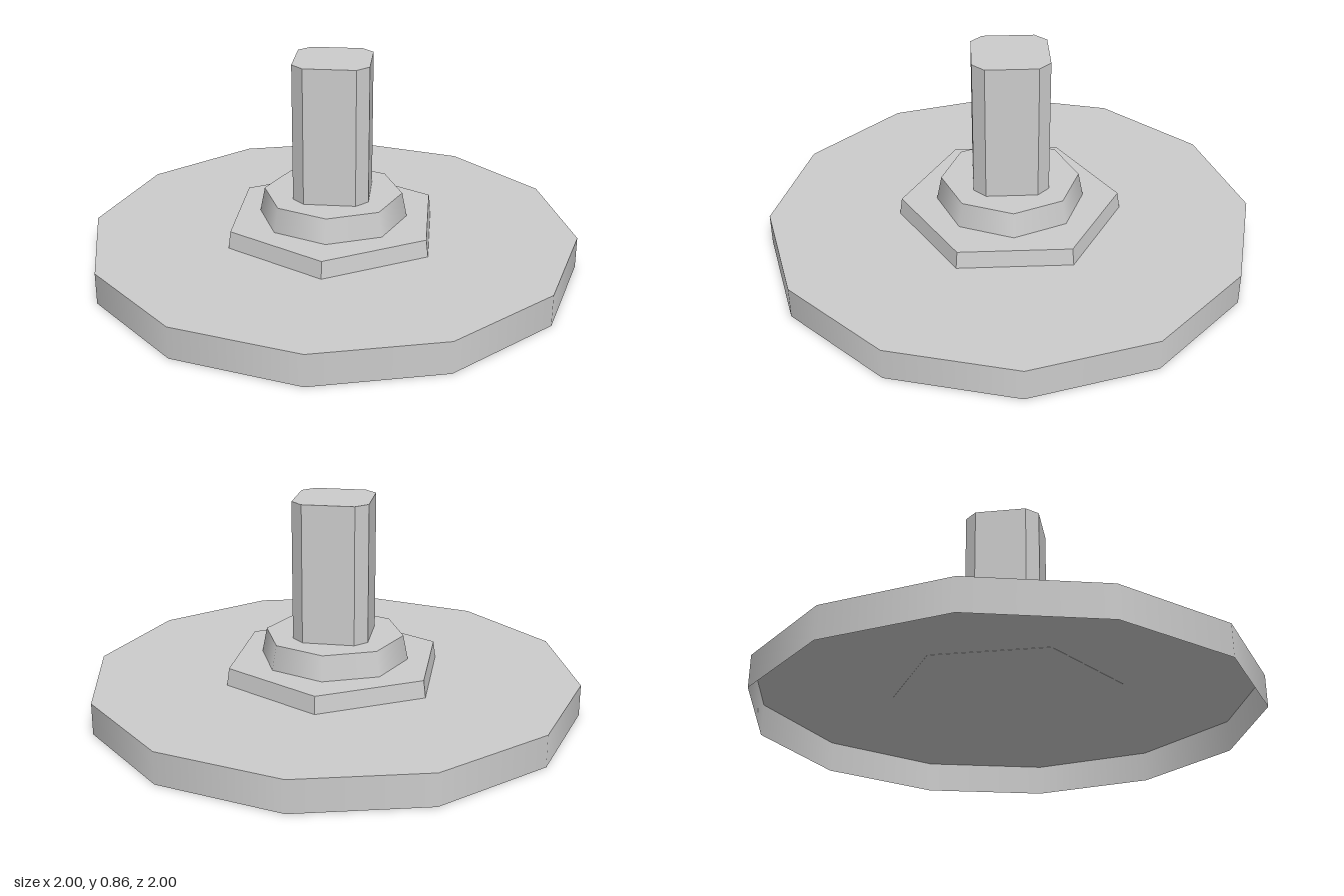
import * as THREE from 'three';

export function createModel() {
  const model = new THREE.Group();
  const grey = new THREE.MeshStandardMaterial({ color: 0xcccccc, side: THREE.DoubleSide });
  grey.name = 'grey';

  const add = (name, geometry) => {
    const mesh = new THREE.Mesh(geometry, grey);
    mesh.name = name;
    model.add(mesh);
  };

  // Upright prism from y0 to y1, with or without end caps
  const prism = (sides, rBottom, rTop, y0, y1, open = false) =>
    new THREE.CylinderGeometry(rTop, rBottom, y1 - y0, sides, 1, open)
      .translate(0, (y0 + y1) / 2, 0);

  // Heights of the steps
  const baseTop = 0.128, plinthTop = 0.198, collarTop = 0.298, postTop = 0.861;

  // Broad twelve-sided base: a smooth rim and a top plate, hollow underneath
  add('baseRim', prism(12, 1, 1, 0, baseTop, true));
  add('baseTop', new THREE.CircleGeometry(1, 12).rotateX(-Math.PI / 2).translate(0, baseTop, 0));

  // Faceted hexagonal plinth resting on the top plate
  const plinth = prism(6, 0.459, 0.449, baseTop - 0.001, plinthTop).toNonIndexed();
  plinth.computeVertexNormals();
  add('hexPlinth', plinth);

  // Tapered octagonal collar
  add('collar', prism(8, 0.303, 0.283, plinthTop, collarTop));

  // Square post with chamfered corners
  const h = 0.152, c = 0.104;
  const outline = new THREE.Shape(
    [[h, -c], [h, c], [c, h], [-c, h], [-h, c], [-h, -c], [-c, -h], [c, -h]]
      .map(([x, y]) => new THREE.Vector2(x, y))
  );
  const post = new THREE.ExtrudeGeometry(outline, { depth: postTop - collarTop, bevelEnabled: false });
  post.rotateX(-Math.PI / 2).translate(0, collarTop, 0);
  add('post', post);

  return model;
}
